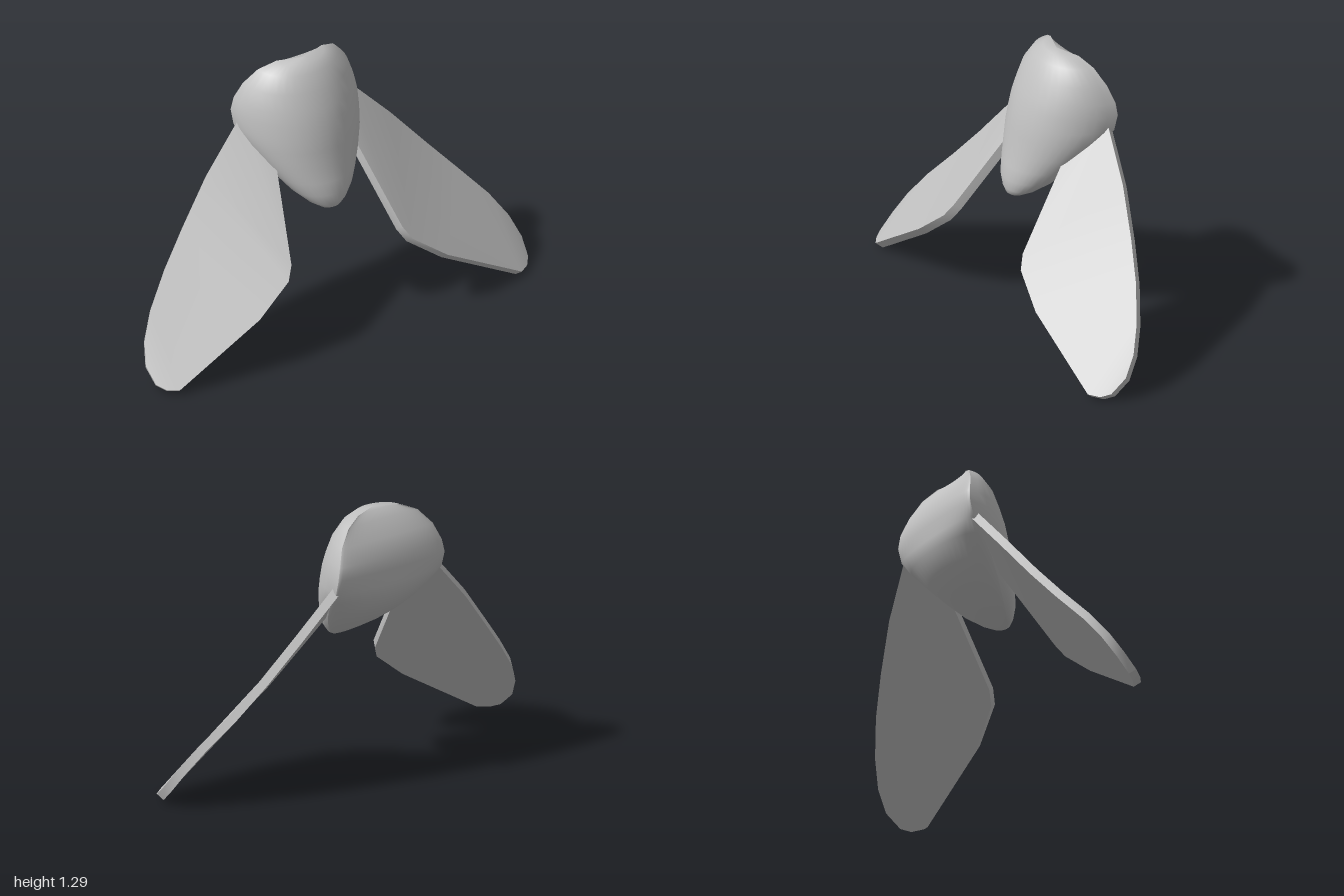
import * as THREE from 'three';
import { toCreasedNormals } from 'three/addons/utils/BufferGeometryUtils.js';

const grey = new THREE.MeshStandardMaterial({ color: 0xc0c0c0 });
grey.name = 'plain grey';

function makeMesh(name, positions, index, crease) {
  let geo = new THREE.BufferGeometry();
  geo.setAttribute('position', new THREE.Float32BufferAttribute(positions, 3));
  geo.setIndex(index);
  geo.computeVertexNormals();
  if (crease) geo = toCreasedNormals(geo, crease);
  const mesh = new THREE.Mesh(geo, grey);
  mesh.name = name;
  return mesh;
}

// Body levels: height, half width, rim z, front z, back z
const LEVELS = [
  [1.29, 0.0, -0.13, -0.13, -0.13],
  [1.285, 0.12, -0.175, -0.085, -0.16],
  [1.25, 0.2, -0.205, -0.045, -0.195],
  [1.18, 0.262, -0.235, 0.0, -0.25],
  [1.1, 0.295, -0.26, 0.035, -0.285],
  [1.04, 0.307, -0.265, 0.058, -0.287],
  [0.97, 0.304, -0.245, 0.077, -0.286],
  [0.91, 0.284, -0.19, 0.09, -0.28],
  [0.83, 0.24, -0.11, 0.105, -0.225],
  [0.76, 0.195, -0.05, 0.123, -0.14],
  [0.7, 0.15, 0.0, 0.138, -0.05],
  [0.65, 0.095, 0.055, 0.135, 0.035],
  [0.625, 0.05, 0.09, 0.126, 0.08],
  [0.615, 0.0, 0.11, 0.11, 0.11],
];

// One half of the body, front or back, meeting the other at a sharp rim
function bodyShell(name, isFront) {
  const segs = 20, pos = [], index = [];
  for (const [y, w, rim, front, back] of LEVELS) {
    for (let j = 0; j <= segs; j++) {
      const a = (j / segs) * Math.PI;
      const reach = (isFront ? front : back) - rim;
      pos.push(w * Math.cos(a), y, rim + reach * Math.sin(a));
    }
  }
  for (let i = 0; i < LEVELS.length - 1; i++) {
    for (let j = 0; j < segs; j++) {
      const a = i * (segs + 1) + j, b = a + 1, c = a + segs + 1, d = c + 1;
      if (isFront) index.push(a, b, c, b, d, c);
      else index.push(a, c, b, b, c, d);
    }
  }
  return makeMesh(name, pos, index);
}

// Wing outline: down the outer edge, round the tip, back up the inner edge
const WING = [
  [0.275, 1.02, -0.225], [0.49, 0.79, -0.18], [0.65, 0.6, -0.125], [0.78, 0.45, -0.07],
  [0.9, 0.31, 0.0], [0.97, 0.2, 0.06], [1.0, 0.11, 0.12],
  [0.99, 0.045, 0.19], [0.96, 0.028, 0.23], [0.91, 0.03, 0.265],
  [0.5, 0.278, 0.288], [0.33, 0.41, 0.262], [0.295, 0.47, 0.23], [0.2, 0.86, -0.06],
];
const THICKNESS = [-0.015, -0.024, -0.029];

// Flat plate with a front face, a back face and an edge band
function wing(name, side) {
  const n = WING.length, pos = [], index = [];
  for (const k of [0, 1]) {
    for (const [x, y, z] of WING) {
      pos.push(side * (x + k * THICKNESS[0]), y + k * THICKNESS[1], z + k * THICKNESS[2]);
    }
  }
  const quad = (a, b, c, d) => {
    if (side > 0) index.push(a, b, c, a, c, d);
    else index.push(a, c, b, a, d, c);
  };
  for (let i = 0; i < n / 2 - 1; i++) {
    const p = i, q = n - 1 - i;
    quad(p, q, q - 1, p + 1);
    quad(n + p, n + p + 1, n + q - 1, n + q);
  }
  for (let i = 0; i < n; i++) {
    const j = (i + 1) % n;
    quad(i, j, n + j, n + i);
  }
  return makeMesh(name, pos, index, 0.5);
}

export function createModel() {
  const model = new THREE.Group();
  model.name = 'wingedBody';
  const body = new THREE.Group();
  body.name = 'body';
  body.add(bodyShell('bodyFront', true), bodyShell('bodyBack', false));
  model.add(body, wing('leftWing', 1), wing('rightWing', -1));
  return model;
}
